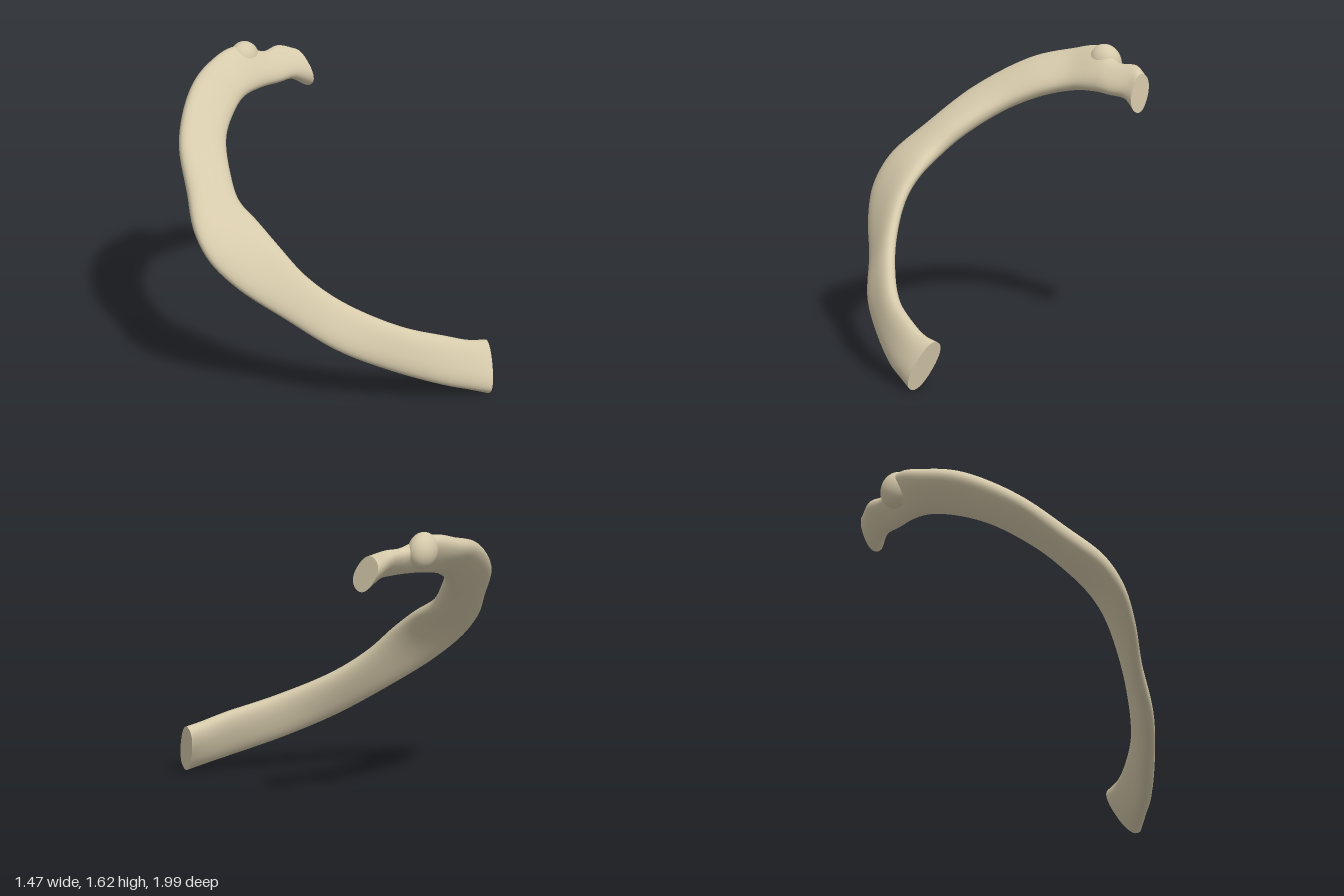
import * as THREE from 'three';

// Stations along the shaft: inner edge xyz, outer edge xyz, thickness
const STATIONS = [
  [[0.33, 0.27, 0.85], [0.22, 0.01, 0.97], 0.13],
  [[0.22, 0.295, 0.82], [0.12, 0.045, 0.89], 0.12],
  [[0.10, 0.34, 0.75], [0.02, 0.08, 0.81], 0.115],
  [[-0.10, 0.42, 0.58], [-0.19, 0.18, 0.59], 0.11],
  [[-0.28, 0.56, 0.31], [-0.39, 0.31, 0.36], 0.10],
  [[-0.37, 0.70, 0.12], [-0.53, 0.48, 0.10], 0.095],
  [[-0.40, 0.85, -0.05], [-0.67, 0.65, -0.12], 0.10],
  [[-0.39, 0.95, -0.20], [-0.73, 0.80, -0.28], 0.11],
  [[-0.36, 1.03, -0.36], [-0.70, 0.94, -0.41], 0.125],
  [[-0.28, 1.13, -0.48], [-0.56, 1.10, -0.57], 0.13],
  [[-0.10, 1.26, -0.65], [-0.37, 1.30, -0.77], 0.125],
  [[0.10, 1.345, -0.74], [-0.08, 1.48, -0.92], 0.13],
  [[0.25, 1.38, -0.78], [0.16, 1.55, -0.98], 0.13],
  [[0.40, 1.39, -0.77], [0.36, 1.60, -0.95], 0.12],
  [[0.52, 1.39, -0.74], [0.52, 1.54, -0.87], 0.10],
  [[0.63, 1.385, -0.72], [0.64, 1.54, -0.86], 0.11],
  [[0.725, 1.325, -0.68], [0.715, 1.51, -0.81], 0.15],
];
const RINGS = 128;
const SIDES = 32;

const curveOf = pick => new THREE.CatmullRomCurve3(STATIONS.map(s => new THREE.Vector3(...pick(s))));

// Rounded cross-sections swept between the two edge curves
function crossSections() {
  const inner = curveOf(s => s[0]);
  const outer = curveOf(s => s[1]);
  const thick = curveOf((s) => [s[2], STATIONS.indexOf(s), 0]);
  const middle = t => inner.getPoint(t).add(outer.getPoint(t)).multiplyScalar(0.5);
  const round = v => Math.sign(v) * Math.pow(Math.abs(v), 0.85);
  const rings = [];
  for (let i = 0; i <= RINGS; i++) {
    const t = i / RINGS;
    const center = middle(t);
    const tangent = middle(Math.min(1, t + 0.01)).sub(middle(Math.max(0, t - 0.01)));
    const half = inner.getPoint(t).sub(center);
    const across = tangent.cross(half).normalize().multiplyScalar(thick.getPoint(t).x / 2);
    const ring = [];
    for (let j = 0; j < SIDES; j++) {
      const a = (j / SIDES) * Math.PI * 2;
      ring.push(center.clone()
        .addScaledVector(half, round(Math.cos(a)))
        .addScaledVector(across, round(Math.sin(a))));
    }
    rings.push(ring);
  }
  return rings;
}

function buildGeometry(points, index) {
  const geometry = new THREE.BufferGeometry().setFromPoints(points);
  geometry.setIndex(index);
  geometry.computeVertexNormals();
  return geometry;
}

function shaftGeometry(rings) {
  const index = [];
  for (let i = 0; i < RINGS; i++) {
    for (let j = 0; j < SIDES; j++) {
      const k = (j + 1) % SIDES;
      const a = i * SIDES + j, b = i * SIDES + k;
      index.push(a, b, a + SIDES, b, b + SIDES, a + SIDES);
    }
  }
  return buildGeometry(rings.flat(), index);
}

// Flat fan closing one end of the shaft
function capGeometry(ring, reversed) {
  const center = new THREE.Vector3();
  ring.forEach(p => center.addScaledVector(p, 1 / SIDES));
  const index = [];
  for (let j = 0; j < SIDES; j++) {
    const a = j + 1, b = ((j + 1) % SIDES) + 1;
    index.push(0, reversed ? b : a, reversed ? a : b);
  }
  return buildGeometry([center, ...ring], index);
}

export function createModel() {
  const group = new THREE.Group();
  group.name = 'ribBone';
  const bone = new THREE.MeshStandardMaterial({ color: 0xd6caab });
  bone.name = 'bone';

  const add = (name, geometry) => {
    const mesh = new THREE.Mesh(geometry, bone);
    mesh.name = name;
    group.add(mesh);
    return mesh;
  };

  const rings = crossSections();
  add('shaft', shaftGeometry(rings));
  add('frontEnd', capGeometry(rings[0], true));
  add('headFacet', capGeometry(rings[RINGS], false));

  // Knob on the outer edge near the head
  const tubercle = add('tubercle', new THREE.SphereGeometry(1, 32, 24));
  tubercle.scale.set(0.095, 0.105, 0.08);
  tubercle.position.set(0.405, 1.525, -0.905);
  tubercle.rotation.z = 0.35;

  return group;
}
